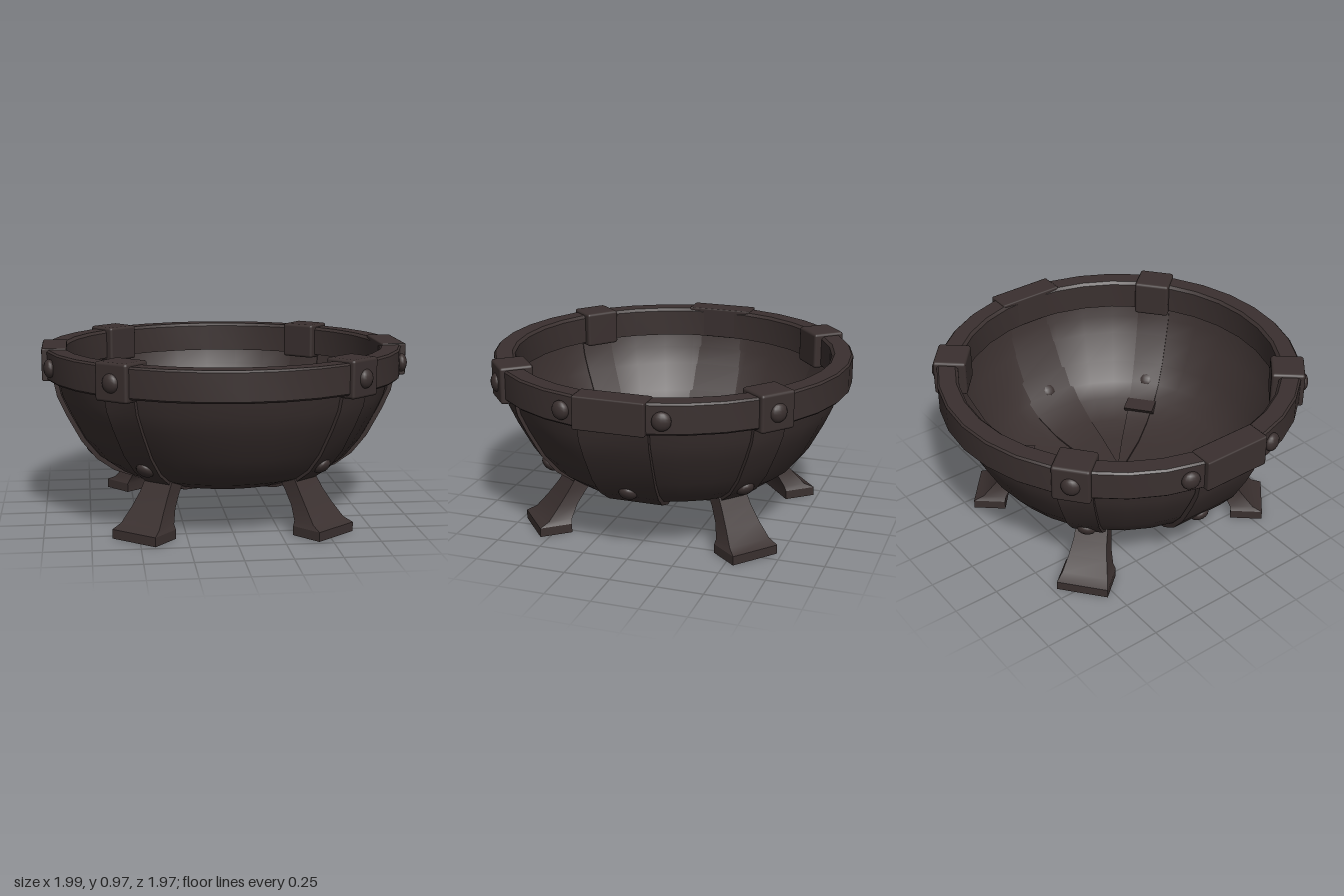
import * as THREE from 'three';
import { toCreasedNormals } from 'three/addons/utils/BufferGeometryUtils.js';
import { RoundedBoxGeometry } from 'three/addons/geometries/RoundedBoxGeometry.js';

const iron = new THREE.MeshStandardMaterial({ color: 0x3a302f, side: THREE.DoubleSide });
iron.name = 'dark iron';

// bowl profile: radius, height
const PROFILE = [[0.03, 0.19], [0.3, 0.2], [0.46, 0.228], [0.61, 0.285], [0.7, 0.35], [0.78, 0.45],
  [0.86, 0.6], [0.905, 0.7], [0.93, 0.82]].map(([r, y]) => new THREE.Vector2(r, y));

function add(parent, name, geometry, x = 0, y = 0, z = 0) {
  const mesh = new THREE.Mesh(geometry, iron);
  mesh.name = name;
  mesh.position.set(x, y, z);
  parent.add(mesh);
  return mesh;
}

// closed solid through a row of four-cornered sections
function loft(sections, crease = 0.6) {
  const index = [];
  const last = (sections.length - 1) * 4;
  for (let i = 0; i < last; i += 4) {
    for (let j = 0; j < 4; j++) {
      const a = i + j, b = i + (j + 1) % 4;
      index.push(a, b, b + 4, a, b + 4, a + 4);
    }
  }
  index.push(2, 1, 0, 3, 2, 0, last, last + 1, last + 2, last, last + 2, last + 3);
  const geometry = new THREE.BufferGeometry();
  geometry.setAttribute('position', new THREE.Float32BufferAttribute(sections.flat(2), 3));
  geometry.setIndex(index);
  return toCreasedNormals(geometry, crease);
}

// tapering strap that hugs the bowl
function strapGeometry(width) {
  const n = PROFILE.length - 1;
  return loft(PROFILE.map((p, i) => {
    const t = PROFILE[Math.min(i + 1, n)].clone().sub(PROFILE[Math.max(i - 1, 0)]).normalize();
    const at = (d) => [p.x + t.y * d, p.y - t.x * d];
    const [ox, oy] = at(0.013), [ix, iy] = at(-0.012);
    const w = width * Math.pow(p.x, 0.55);
    return [[ox, oy, w], [ox, oy, -w], [ix, iy, -w], [ix, iy, w]];
  }));
}

// flared foot: height, inner radius, outer radius, half width
function footGeometry() {
  const steps = [[0, 0.65, 0.83, 0.14], [0.05, 0.65, 0.83, 0.14], [0.075, 0.645, 0.775, 0.125],
    [0.15, 0.605, 0.71, 0.105], [0.22, 0.55, 0.655, 0.092], [0.295, 0.49, 0.605, 0.086]];
  return loft(steps.map(([y, a, b, w]) => [[b, y, w], [b, y, -w], [a, y, -w], [a, y, w]]), 0.5);
}

function rivet(parent, name, x, y, z, tilt = 0) {
  const mesh = add(parent, name, new THREE.SphereGeometry(0.05, 14, 10), x, y, z);
  mesh.scale.x = 0.6;
  mesh.rotation.z = tilt;
  return mesh;
}

// group whose local x axis points outward at the given angle
function spoke(parent, name, angle) {
  const group = new THREE.Group();
  group.name = name;
  group.rotation.y = -angle;
  parent.add(group);
  return group;
}

export function createModel() {
  const model = new THREE.Group();
  model.name = 'fireBowl';

  // bowl shell
  const shell = [new THREE.Vector2(0, 0.19), ...PROFILE];
  add(model, 'bowl', new THREE.LatheGeometry(shell, 32));

  // square-section rim with small bevels
  const rim = [[0.87, 0.785], [0.975, 0.785], [0.985, 0.795], [0.985, 0.94], [0.975, 0.95],
    [0.885, 0.95], [0.87, 0.935], [0.87, 0.785]].map(([r, y]) => new THREE.Vector2(r, y));
  add(model, 'rim', toCreasedNormals(new THREE.LatheGeometry(rim, 32), 0.5));

  // four diagonal straps, each with a clamp, rivets and a foot
  const diagonal = THREE.MathUtils.degToRad(50);
  for (const angle of [diagonal, Math.PI - diagonal, Math.PI + diagonal, -diagonal]) {
    const leg = spoke(model, 'legAssembly', angle);
    add(leg, 'strap', strapGeometry(0.1));
    add(leg, 'clamp', new RoundedBoxGeometry(0.18, 0.2, 0.2, 2, 0.015), 0.913, 0.866, 0);
    rivet(leg, 'clampRivet', 1.0, 0.863, 0);
    rivet(leg, 'strapRivet', 0.725, 0.365, 0, -0.8);
    add(leg, 'foot', footGeometry());
  }

  // two wide side straps with rim plates and rivets
  for (const angle of [0, Math.PI]) {
    const side = spoke(model, 'sideAssembly', angle);
    add(side, 'sideStrap', strapGeometry(0.197));
    add(side, 'rimPlate', new RoundedBoxGeometry(0.135, 0.175, 0.38, 1, 0.008), 0.928, 0.87, 0);
    rivet(side, 'sideStrapRivet', 0.725, 0.365, 0, -0.8);
    for (const s of [-1, 1]) {
      rivet(side, 'rimRivet', 0.953, 0.863, s * 0.265).rotation.y = -s * 0.27;
    }
  }
  return model;
}
